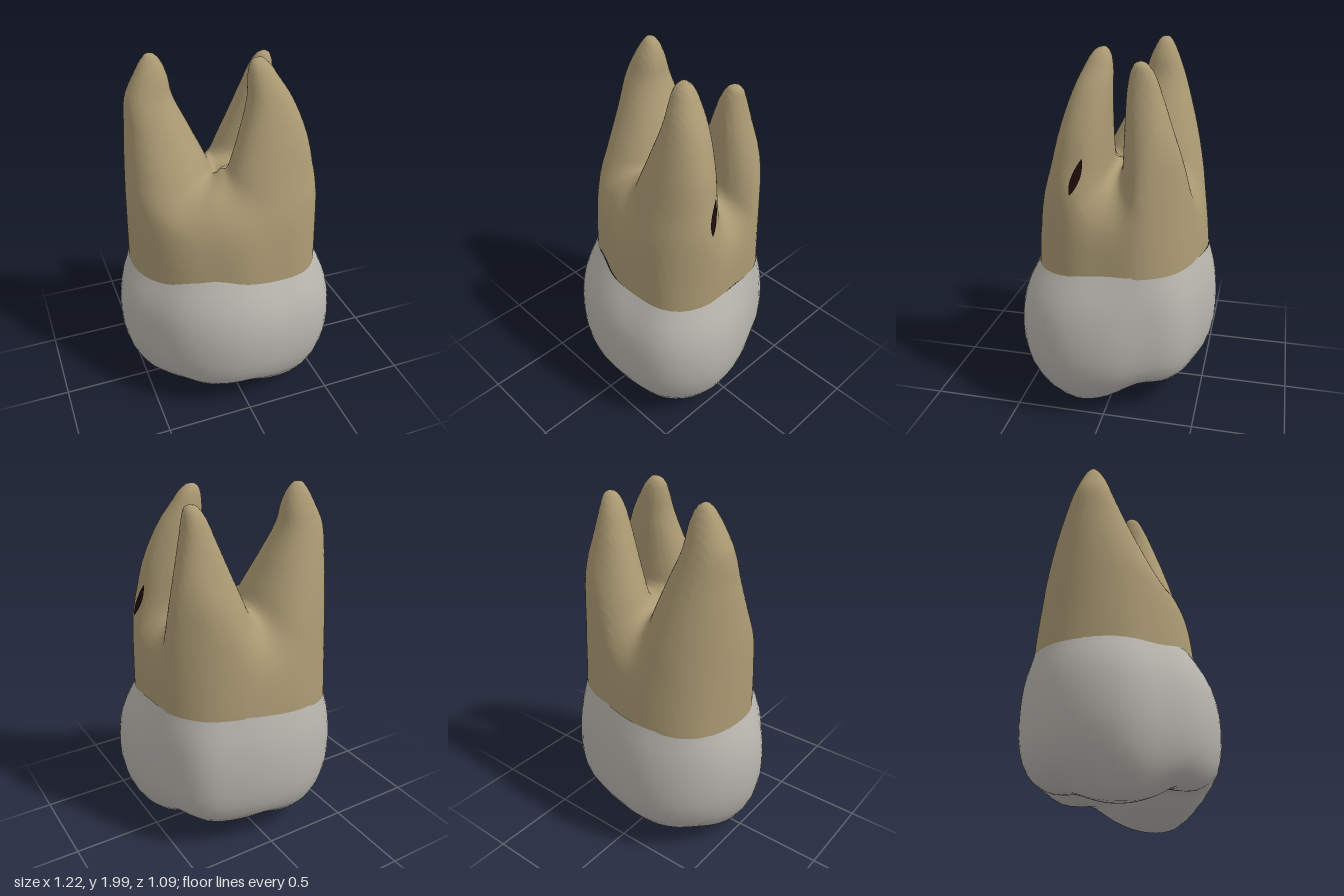
import * as THREE from 'three';

const SEG = 64;
const lerp = THREE.MathUtils.lerp;

// Smooth interpolation through rows of equal length
function spline(times, rows) {
  const f = new THREE.CubicInterpolant(times, rows.flat(), rows[0].length);
  return t => Array.from(f.evaluate(t));
}

// Value by angle, from 16 values going from +x towards +z
function polar(values) {
  const rows = [...values.slice(-3), ...values, ...values.slice(0, 3)].map(r => [r]);
  const f = spline(rows.map((_, i) => i), rows);
  return a => f(3 + ((a / (Math.PI * 2) + 1) % 1) * 16)[0];
}

function indexed(pos, idx) {
  const g = new THREE.BufferGeometry();
  g.setAttribute('position', new THREE.Float32BufferAttribute(pos, 3));
  g.setIndex(idx);
  g.computeVertexNormals();
  return g;
}

// Skin of rings, listed from the bottom up
function loft(rings, closed = true) {
  const n = rings[0].length, idx = [];
  for (let i = 0; i < rings.length - 1; i++) {
    for (let j = 0; j < (closed ? n : n - 1); j++) {
      const a = i * n + j, b = i * n + (j + 1) % n;
      idx.push(a, a + n, b, b, a + n, b + n);
    }
  }
  return indexed(rings.flat(2), idx);
}

const ring = fn => Array.from({ length: SEG }, (_, j) => fn((j / SEG) * Math.PI * 2));

const crownRadius = polar([.595, .645, .64, .575, .54, .525, .525, .535, .60, .615, .605, .58, .545, .535, .57, .555]);
const neckRadius = polar([.51, .535, .525, .45, .415, .39, .41, .45, .51, .545, .56, .525, .485, .475, .505, .52]);

// Wavy line where the enamel ends
const neckHeight = polar([.875, .855, .845, .85, .87, .89, .865, .828, .82, .818, .82, .835, .85, .86, .862, .87]);

// Chewing surface: rounded cusps with fissures between them
const CUSPS = [[.32, .2, .005], [-.38, -.03, .022], [.17, -.23, .12], [-.25, -.3, .09], [-.2, .32, .125]];
function biteHeight(x, z) {
  const sum = CUSPS.reduce((s, [cx, cz, y]) =>
    s + Math.exp(-70 * (y + 1.15 * ((x - cx) ** 2 + (z - cz) ** 2))), 0);
  return -Math.log(sum) / 70;
}

function crownGeometry() {
  const rings = [];
  // Chewing surface out to the rounded rim: scale, side height, share of side height
  const bite = [];
  for (let i = 0; i <= 13; i++) bite.push([i * .05, 0, 0]);
  bite.push([.71, .14, .15], [.77, .17, .32], [.84, .2, .52], [.9, .235, .72], [.945, .275, .88], [.975, .32, 1], [.995, .39, 1]);
  for (const [s, y, w] of bite) {
    rings.push(ring(a => {
      const r = crownRadius(a) * s, x = r * Math.cos(a), z = r * Math.sin(a);
      return [x, lerp(biteHeight(x, z), y, w), z];
    }));
  }
  // Walls up to the neck: height share, bulge
  for (const [h, bulge] of [[0, 1], [.18, .98], [.36, .9], [.52, .77], [.68, .57], [.84, .3], [1, 0]]) {
    rings.push(ring(a => {
      const r = lerp(neckRadius(a), crownRadius(a), bulge);
      return [r * Math.cos(a), lerp(.47, neckHeight(a), h), r * Math.sin(a)];
    }));
  }
  return loft(rings);
}

// Root sections: height, x from, x to, z from, z to
const ROOTS = [
  // front
  [[.95, -.1, .505, -.04, .4], [1.2, -.06, .505, -.02, .375], [1.4, -.02, .465, -.005, .325], [1.6, .05, .425, 0, .27],
    [1.8, .11, .345, 0, .2], [1.91, .12, .275, .005, .15], [1.97, .13, .235, .02, .115], [2, .15, .2, .04, .085]],
  // back
  [[.95, -.06, .5, -.45, -.03], [1.2, -.03, .5, -.425, -.045], [1.4, .04, .465, -.38, -.065], [1.6, .12, .415, -.32, -.075],
    [1.78, .19, .37, -.265, -.085], [1.88, .23, .35, -.23, -.1], [1.93, .26, .34, -.2, -.12], [1.95, .28, .325, -.18, -.135]],
  // side
  [[.95, -.52, .03, -.47, .28], [1.2, -.52, .02, -.45, .22], [1.4, -.505, -.045, -.405, .12], [1.6, -.485, -.135, -.35, .02],
    [1.78, -.465, -.215, -.295, -.06], [1.9, -.41, -.24, -.255, -.1], [1.97, -.37, -.27, -.225, -.135], [2, -.345, -.295, -.205, -.155]],
].map(rows => ({
  top: rows.at(-1)[0],
  // Centre and half widths at a height
  at: spline(rows.map(r => r[0]), rows.map(([, x0, x1, z0, z1]) =>
    [(x0 + x1) / 2, (z0 + z1) / 2, (x1 - x0) / 2, (z1 - z0) / 2])),
}));

const POWER = 2.18;
function smoothMax(a, b, k) {
  const h = Math.max(k - Math.abs(a - b), 0) / k;
  return Math.max(a, b) + h * h * k / 4;
}

// Depth inside the roots: a domed trunk merged with three tapering roots
function rootDepth(x, y, z) {
  const a = Math.atan2(z, x), r = Math.hypot(x, z);
  const rise = Math.max(0, y - neckHeight(a)), h = rise / .51;
  const R = neckRadius(a) * (1 - .2 * rise * Math.sin(a) ** 2);
  let depth = R * (1 - Math.cbrt((r / R) ** 3 + h ** 3));
  for (const { top, at } of ROOTS) {
    const [cx, cz, rx, rz] = at(y);
    const d = (Math.abs((x - cx) / rx) ** POWER + Math.abs((z - cz) / rz) ** POWER) ** (1 / POWER);
    depth = smoothMax(depth, Math.min(Math.min(rx, rz) * (1 - d), top - y), .06);
  }
  // Keep the roots within the outline of the neck
  return -smoothMax(-depth, r - R - .004, .03);
}

// Net over the zero surface of rootDepth, on a grid that starts at the neck line
function rootsGeometry() {
  const N = [64, 74, 64], pts = [], depths = [], pos = [], idx = [], cellVertex = new Map();
  const stride = [1, N[0] + 1, (N[0] + 1) * (N[1] + 1)];
  for (let k = 0; k <= N[2]; k++) for (let j = 0; j <= N[1]; j++) for (let i = 0; i <= N[0]; i++) {
    const x = lerp(-.58, .58, i / N[0]), z = lerp(-.58, .58, k / N[2]);
    const y = lerp(neckHeight(Math.atan2(z, x)), 2.03, (j - 1) / (N[1] - 1));
    pts.push([x, y, z]);
    depths.push(rootDepth(x, y, z));
  }
  for (let k = 0; k < N[2]; k++) for (let j = 0; j < N[1]; j++) for (let i = 0; i < N[0]; i++) {
    const cell = [i, j, k], base = i + j * stride[1] + k * stride[2];
    const corner = c => base + (c & 1) + (c >> 1 & 1) * stride[1] + (c >> 2) * stride[2];
    // One vertex per crossed cell, at the mean of its edge crossings
    const sum = [0, 0, 0];
    let count = 0;
    for (let c = 0; c < 8; c++) for (const bit of [1, 2, 4]) {
      if (c & bit) continue;
      const p = corner(c), q = corner(c | bit);
      if (depths[p] > 0 === depths[q] > 0) continue;
      const t = depths[p] / (depths[p] - depths[q]);
      for (let m = 0; m < 3; m++) sum[m] += lerp(pts[p][m], pts[q][m], t);
      count++;
    }
    if (!count) continue;
    cellVertex.set(base, pos.length / 3);
    pos.push(...sum.map(s => s / count));
    // One quad around each crossed edge
    for (let d = 0; d < 3; d++) {
      const u = (d + 1) % 3, v = (d + 2) % 3, inside = depths[base] > 0;
      if (!cell[u] || !cell[v] || inside === depths[base + stride[d]] > 0) continue;
      const quad = [base, base - stride[u], base - stride[u] - stride[v], base - stride[v]].map(c => cellVertex.get(c));
      if (!inside) quad.reverse();
      idx.push(quad[0], quad[1], quad[2], quad[0], quad[2], quad[3]);
    }
  }
  return indexed(pos, idx);
}

// Small dark spot lying on the front root
function spotGeometry() {
  const soft = v => Math.sign(v) * Math.abs(v) ** (2 / POWER), rings = [];
  for (let i = 0; i <= 10; i++) {
    const v = i / 10, y = lerp(1.3, 1.485, v), [cx, cz, rx, rz] = ROOTS[0].at(y);
    const middle = lerp(-.02, -.24, v), half = .12 * Math.sin(Math.PI * v) ** .8;
    rings.push([-1, -.5, 0, .5, 1].map(u => {
      const a = middle + u * half;
      return [cx + (rx + .006) * soft(Math.cos(a)), y, cz + (rz + .006) * soft(Math.sin(a))];
    }));
  }
  return loft(rings, false);
}

export function createModel() {
  const enamel = new THREE.MeshStandardMaterial({ name: 'enamel', color: 0xb8b5ae });
  const rootTan = new THREE.MeshStandardMaterial({ name: 'rootTan', color: 0xab9a73 });
  const spotBrown = new THREE.MeshStandardMaterial({ name: 'spotBrown', color: 0x1e0d0c, side: THREE.DoubleSide });

  const model = new THREE.Group();
  model.name = 'molar';
  const add = (name, geometry, material) => {
    const mesh = new THREE.Mesh(geometry, material);
    mesh.name = name;
    model.add(mesh);
  };

  add('crown', crownGeometry(), enamel);
  add('roots', rootsGeometry(), rootTan);
  add('rootSpot', spotGeometry(), spotBrown);
  return model;
}
